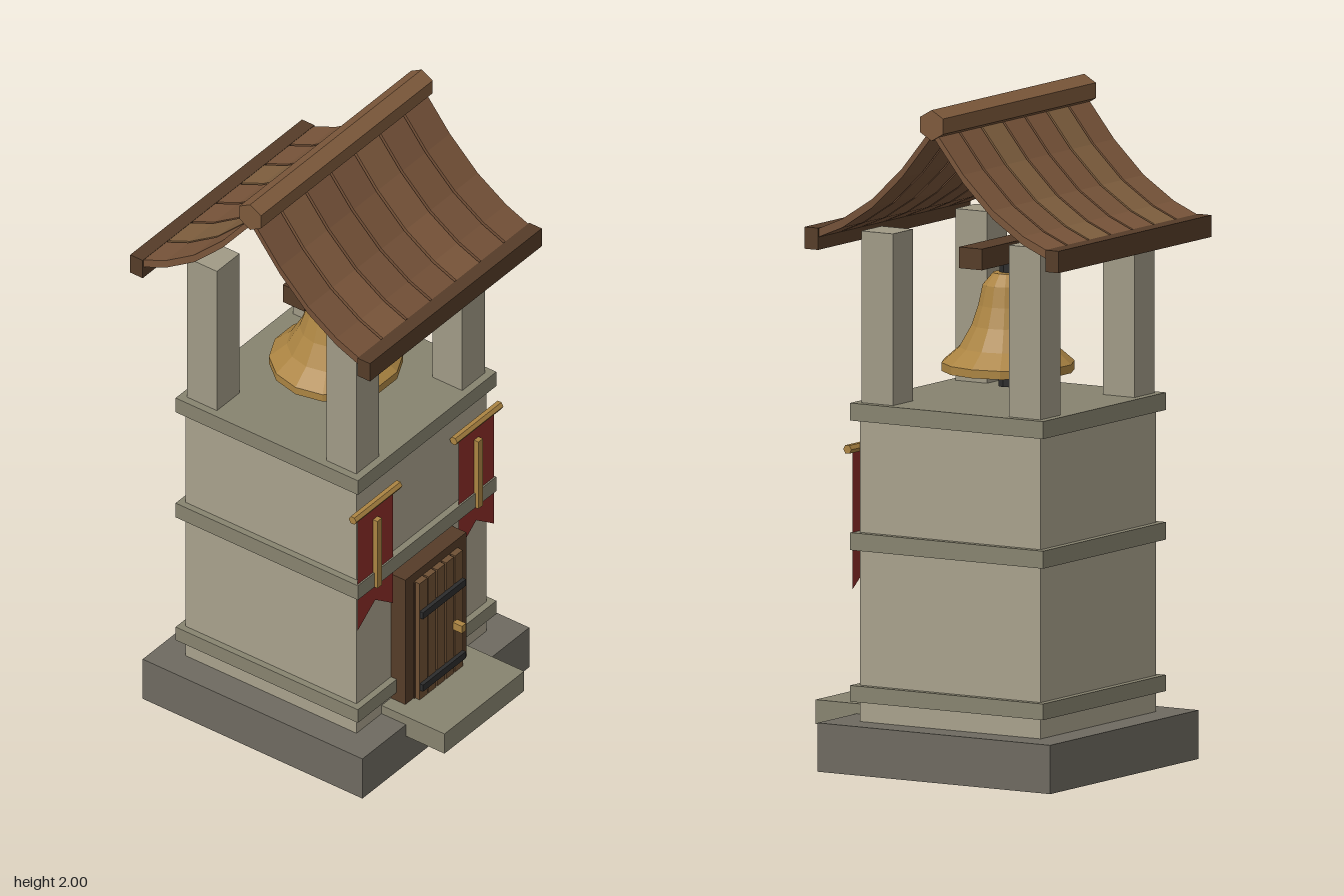
import * as THREE from 'three';

const ZC = -0.05; // the tower axis sits slightly behind the origin, the step projects in front

const mat = (color, side = THREE.FrontSide) => {
  const m = new THREE.MeshStandardMaterial({ color, flatShading: true, side });
  return m;
};

const M = {
  wall: mat(0xa8a18c), post: mat(0xa09a86), trim: mat(0x87836f), base: mat(0x6e6a60),
  darkWood: mat(0x553c28), door: mat(0x6e5034), ridge: mat(0x7d593b), iron: mat(0x2c2c2c),
  gold: mat(0xab8442), bell: mat(0xab8442, THREE.DoubleSide), cloth: mat(0x8a2c28, THREE.DoubleSide),
  planks: [mat(0x79553a), mat(0x735037), mat(0x80603f)],
};

export function createModel() {
  const root = new THREE.Group();

  const add = (name, geo, material, x = 0, y = 0, z = 0, parent = root) => {
    const mesh = new THREE.Mesh(geo, material);
    mesh.name = name;
    mesh.position.set(x, y, z);
    parent.add(mesh);
    return mesh;
  };
  // box given by its centre in x and its ranges in y and z
  const box = (name, material, x, w, y0, y1, z0, z1, parent) =>
    add(name, new THREE.BoxGeometry(w, y1 - y0, z1 - z0), material, x, (y0 + y1) / 2, (z0 + z1) / 2, parent);
  const group = (name) => {
    const g = new THREE.Group();
    g.name = name;
    root.add(g);
    return g;
  };

  // stone tower
  box('base', M.base, 0, 0.81, 0, 0.145, ZC - 0.405, ZC + 0.405);
  box('towerWall', M.wall, 0, 0.63, 0.145, 1.06, ZC - 0.315, ZC + 0.315);
  for (const [y0, y1] of [[0.205, 0.253], [0.655, 0.707], [1.04, 1.092]])
    box('stoneBand', M.trim, 0, 0.672, y0, y1, ZC - 0.336, ZC + 0.336);
  box('doorStep', M.trim, 0, 0.387, 0.103, 0.175, 0.26, 0.497);

  // four belfry posts
  for (const sx of [-1, 1])
    for (const sz of [-1, 1]) {
      const z = ZC + sz * 0.257;
      box('belfryPost', M.post, sx * 0.257, 0.11, 1.09, 1.602, z - 0.055, z + 0.055);
    }

  // door with frame, planks, straps and handle
  const door = group('door');
  for (const s of [-1, 1]) box('doorJamb', M.darkWood, s * 0.128, 0.04, 0.15, 0.63, 0.26, 0.318, door);
  box('doorLintel', M.darkWood, 0, 0.216, 0.598, 0.63, 0.26, 0.318, door);
  box('doorBacking', M.darkWood, 0, 0.216, 0.15, 0.598, 0.26, 0.322, door);
  for (let i = -2; i <= 2; i++) box('doorPlank', M.door, i * 0.043, 0.037, 0.15, 0.6, 0.3, 0.338, door);
  for (const y of [0.222, 0.487]) box('doorStrap', M.iron, 0, 0.208, y - 0.012, y + 0.012, 0.33, 0.35, door);
  box('doorHandle', M.gold, 0.067, 0.02, 0.337, 0.363, 0.335, 0.371, door);

  // two swallow-tailed banners
  for (const s of [-1, 1]) {
    const banner = group('banner');
    banner.position.x = s * 0.245;
    const cloth = new THREE.Shape([[-0.086, 0.95], [-0.086, 0.537], [0, 0.6], [0.086, 0.537], [0.086, 0.95]]
      .map(([x, y]) => new THREE.Vector2(x, y)));
    add('bannerCloth', new THREE.ShapeGeometry(cloth), M.cloth, 0, 0, 0.281, banner);
    box('bannerStripe', M.gold, 0, 0.022, 0.655, 0.9, 0.279, 0.297, banner);
    add('bannerPole', new THREE.CylinderGeometry(0.014, 0.014, 0.224, 6), M.gold, 0, 0.957, 0.282, banner)
      .rotation.z = Math.PI / 2;
  }

  // bell hanging from its beam
  box('bellBeam', M.darkWood, 0, 0.41, 1.5, 1.563, ZC - 0.04, ZC + 0.04);
  add('bellHanger', new THREE.CylinderGeometry(0.025, 0.025, 0.07, 8), M.iron, 0, 1.485, ZC);
  const profile = [[0, 1.468], [0.045, 1.465], [0.075, 1.43], [0.088, 1.37], [0.108, 1.31],
    [0.145, 1.245], [0.197, 1.2], [0.197, 1.175], [0.165, 1.175], [0.125, 1.24], [0.07, 1.35], [0, 1.42]]
    .map(([r, y]) => new THREE.Vector2(r, y)).reverse();
  add('bell', new THREE.LatheGeometry(profile, 14), M.bell, 0, 0, ZC).rotation.y = Math.PI / 2;
  add('bellClapper', new THREE.CylinderGeometry(0.028, 0.028, 0.07, 8), M.iron, 0, 1.162, ZC);
  add('clapperRod', new THREE.CylinderGeometry(0.01, 0.01, 0.24, 6), M.iron, 0, 1.31, ZC);

  // swept roof: seven bent planks per slope
  const sweep = [[0, 1.935], [0.107, 1.803], [0.21, 1.705], [0.315, 1.637], [0.41, 1.597]];
  const t = 0.013;
  const section = new THREE.Shape([
    ...sweep.map(([d, y]) => new THREE.Vector2(d, y - t)),
    ...sweep.map(([d, y]) => new THREE.Vector2(d, y + t)).reverse(),
  ]);
  const plank = new THREE.ExtrudeGeometry(section, { depth: 0.11, bevelEnabled: false });
  plank.translate(0, 0, -0.055);
  for (const s of [-1, 1]) {
    const slope = group(s > 0 ? 'frontRoofSlope' : 'backRoofSlope');
    for (let i = -3; i <= 3; i++)
      add('roofPlank', plank, M.planks[(i * i + (s > 0 ? 1 : 0) + i + 3) % 3], i * 0.119, 0, ZC, slope)
        .rotation.y = -s * Math.PI / 2;
    const z = ZC + s * 0.419;
    box('eaveBeam', M.darkWood, 0, 0.834, 1.552, 1.617, z - 0.023, z + 0.023, slope);
  }
  // hexagonal ridge beam with an edge on top
  const ridge = new THREE.CylinderGeometry(0.046, 0.046, 0.834, 6);
  ridge.rotateZ(Math.PI / 2);
  ridge.rotateX(Math.PI / 2);
  add('ridgeBeam', ridge, M.ridge, 0, 1.954, ZC);

  return root;
}
